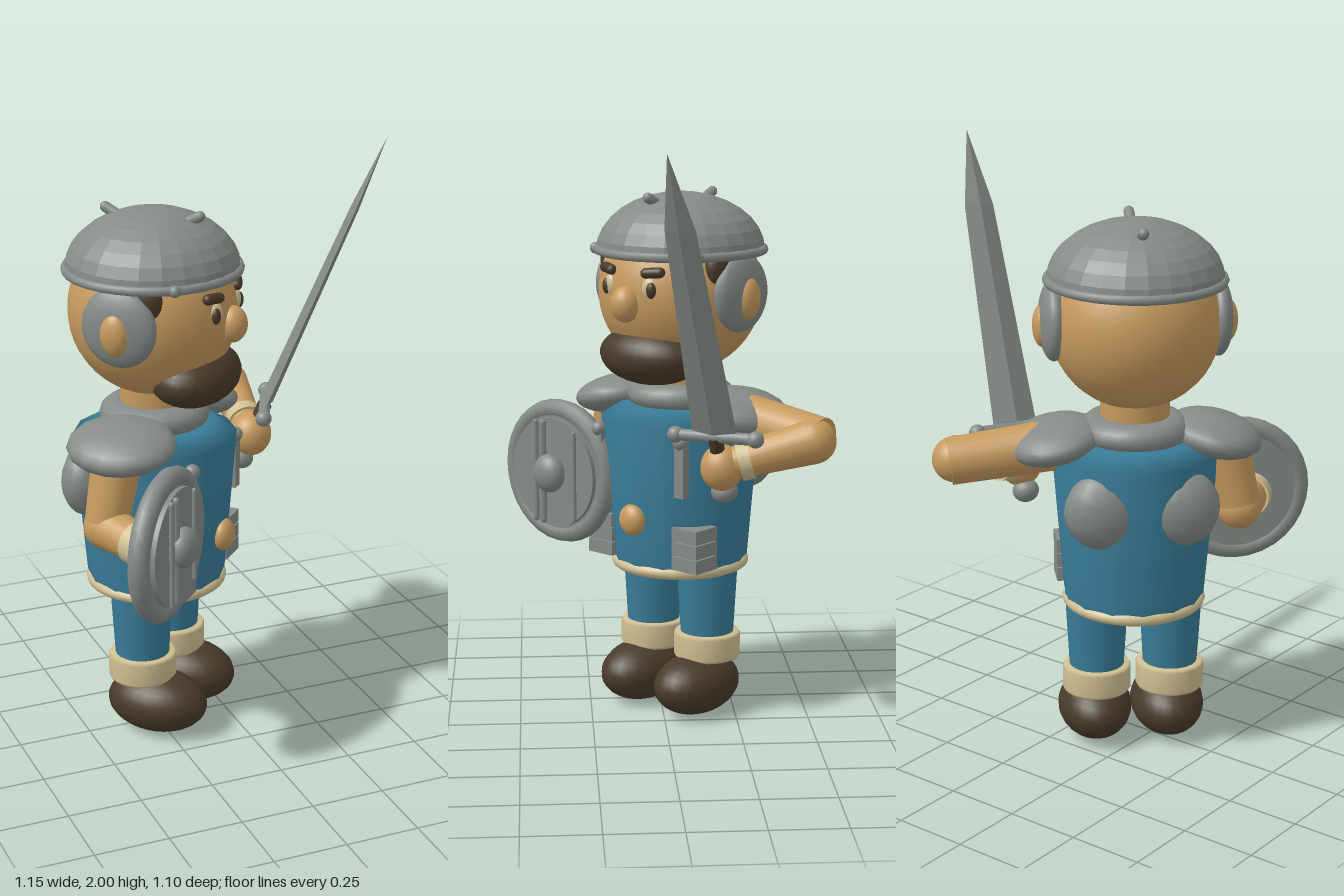
import * as THREE from 'three';

const mat = (name, color) => {
  const m = new THREE.MeshStandardMaterial({ color });
  m.name = name;
  return m;
};

export function createModel() {
  const steel = mat('steel', 0x858b87);
  const cloth = mat('blue cloth', 0x397c98);
  const skin = mat('skin', 0xc69a5e);
  const cream = mat('cream trim', 0xcfbf92);
  const brown = mat('dark brown', 0x493a2a);

  const model = new THREE.Group();
  const knight = new THREE.Group();
  knight.name = 'knight';
  knight.position.set(-0.22, 0, -0.068);
  knight.rotation.y = Math.PI / 4; // the figure stands turned towards its left
  model.add(knight);

  const add = (name, geo, material, pos = [0, 0, 0], rot = [0, 0, 0], parent = knight) => {
    const m = new THREE.Mesh(geo, material);
    m.name = name;
    m.position.set(...pos);
    m.rotation.set(...rot);
    parent.add(m);
    return m;
  };
  const ball = (name, material, pos, r, rot, parent, seg = 24) =>
    add(name, new THREE.SphereGeometry(1, seg, Math.ceil(seg * 0.7)).scale(...r), material, pos, rot, parent);
  const up = new THREE.Vector3(0, 1, 0);
  // Tapered round limb between two points
  const limb = (name, material, a, b, ra, rb, parent) => {
    const A = new THREE.Vector3(...a), B = new THREE.Vector3(...b);
    const d = B.clone().sub(A);
    const m = add(name, new THREE.CylinderGeometry(rb, ra, d.length(), 20), material, [0, 0, 0], [0, 0, 0], parent);
    m.position.copy(A).addScaledVector(d, 0.5);
    m.quaternion.setFromUnitVectors(up, d.normalize());
    return m;
  };
  const lathe = (pts, seg) => new THREE.LatheGeometry(pts.map(p => new THREE.Vector2(...p)), seg);
  const flat = (geo) => {
    const g = geo.toNonIndexed();
    g.computeVertexNormals();
    return g;
  };

  // Legs, cuffs and boots
  for (const s of [-1, 1]) {
    ball('boot', brown, [s * 0.125, 0.108, 0.055], [0.125, 0.107, 0.178]);
    add('leg', new THREE.CylinderGeometry(0.108, 0.09, 0.31, 24), cloth, [s * 0.125, 0.4, 0]);
    add('trouserCuff', lathe([[0.08, 0.195], [0.11, 0.195], [0.116, 0.205], [0.116, 0.278], [0.11, 0.288], [0.08, 0.288]], 24),
      cream, [s * 0.125, 0, 0]);
  }

  // Tunic with hem
  add('tunic', lathe([[0, 0.525], [0.228, 0.525], [0.235, 0.55], [0.276, 1.045], [0.2, 1.09], [0, 1.09]], 14), cloth);
  add('hem', new THREE.TorusGeometry(0.218, 0.022, 10, 32), cream, [0, 0.528, 0], [Math.PI / 2, 0, 0]);
  ball('belly', skin, [0, 0.71, 0.25], [0.052, 0.055, 0.035]);

  // Neck and collar
  add('neck', new THREE.CylinderGeometry(0.115, 0.115, 0.2, 24), skin, [0, 1.16, 0]);
  add('collar', new THREE.TorusGeometry(0.125, 0.06, 12, 28).rotateX(Math.PI / 2).scale(1, 0.8, 1), steel, [0, 1.12, 0]);

  for (const s of [-1, 1]) {
    // Shoulder and back plates
    ball('shoulderPlate', steel, [s * 0.265, 1.09, 0], [0.16, 0.07, 0.185], [0, 0, -s * 0.2], knight, 16);
    ball('backPlate', steel, [s * 0.13, 0.9, -0.185], [0.125, 0.13, 0.085], [0, 0, 0], knight, 14);
    // Chest straps with studs
    add('chestStrap', new THREE.BoxGeometry(0.04, 0.19, 0.03), steel, [s * 0.187, 0.905, 0.21]);
    ball('strapStud', steel, [s * 0.187, 1.0, 0.215], [0.026, 0.026, 0.026]);
    // Hip pouches
    for (let i = 0; i < 3; i++)
      add('hipPouch', new THREE.BoxGeometry(0.11, 0.047, 0.11), steel, [s * 0.193, 0.573 + i * 0.051, 0.15]);
  }

  // Head and face
  ball('head', skin, [0, 1.48, 0], [0.282, 0.285, 0.282], [0, 0, 0], knight, 32);
  ball('beard', brown, [0, 1.272, 0.15], [0.2, 0.103, 0.143]);
  ball('nose', skin, [0, 1.458, 0.28], [0.052, 0.062, 0.05]);
  for (const s of [-1, 1]) {
    ball('eye', cream, [s * 0.088, 1.515, 0.256], [0.028, 0.036, 0.018], [0, s * 0.35, 0]);
    ball('pupil', brown, [s * 0.1, 1.51, 0.264], [0.017, 0.027, 0.014], [0, s * 0.35, 0]);
    add('eyebrow', new THREE.CapsuleGeometry(0.018, 0.05, 6, 12).rotateZ(Math.PI / 2), brown,
      [s * 0.1, 1.568, 0.255], [0, s * 0.38, s * 0.08]);
    ball('sideburn', brown, [s * 0.235, 1.575, 0.08], [0.04, 0.07, 0.055]);
    ball('earGuard', steel, [s * 0.268, 1.49, 0], [0.048, 0.132, 0.13]);
    ball('ear', skin, [s * 0.3, 1.475, 0], [0.035, 0.072, 0.05]);
  }

  // Helmet with rim, studs and crest pegs
  add('helmetDome', flat(new THREE.SphereGeometry(0.29, 24, 8, 0, Math.PI * 2, 0, Math.PI / 2).scale(1, 0.69, 1)),
    steel, [0, 1.615, 0]);
  add('helmetBase', new THREE.CircleGeometry(0.29, 24), steel, [0, 1.612, 0], [Math.PI / 2, 0, 0]);
  add('helmetRim', new THREE.TorusGeometry(0.285, 0.016, 8, 32), steel, [0, 1.62, 0], [Math.PI / 2, 0, 0]);
  for (const s of [-1, 1]) {
    ball('rimStud', steel, [s * 0.231, 1.62, 0.178], [0.02, 0.02, 0.02]);
    add('helmetPeg', new THREE.CapsuleGeometry(0.018, 0.06, 4, 10), steel,
      [0, 1.79, s * 0.14], [s * 1.1, 0, 0]);
  }

  // Right arm, bent towards the shield
  limb('rightUpperArm', skin, [-0.29, 1.08, 0], [-0.35, 0.84, -0.02], 0.085, 0.072);
  ball('rightElbow', skin, [-0.35, 0.835, -0.02], [0.075, 0.075, 0.075]);
  limb('rightForearm', skin, [-0.35, 0.835, -0.02], [-0.42, 0.82, 0.14], 0.073, 0.062);
  limb('rightWristCuff', cream, [-0.405, 0.823, 0.105], [-0.425, 0.82, 0.15], 0.072, 0.072);
  ball('rightHand', skin, [-0.42, 0.82, 0.16], [0.06, 0.06, 0.05]);

  // Round shield facing forward
  const shield = new THREE.Group();
  shield.name = 'shield';
  shield.position.set(-0.379, 0.82, 0.207);
  knight.add(shield);
  const q = [Math.PI / 2, 0, 0];
  add('shieldBody', new THREE.CylinderGeometry(0.225, 0.225, 0.055, 32), steel, [0, 0, 0], q, shield);
  add('shieldRim', new THREE.TorusGeometry(0.222, 0.035, 10, 32), steel, [0, 0, 0], [0, 0, 0], shield);
  add('shieldFace', new THREE.CylinderGeometry(0.195, 0.195, 0.02, 32), steel, [0, 0, 0.034], q, shield);
  ball('shieldBoss', steel, [0, 0, 0.06], [0.065, 0.068, 0.045], [0, 0, 0], shield);
  for (const [x, r, h] of [[-0.075, 0.01, 0.35], [-0.04, 0.013, 0.35], [0.11, 0.008, 0.31]])
    add('shieldBar', new THREE.CapsuleGeometry(r, h, 4, 8), steel, [x, 0, 0.05], [0, 0, 0], shield);

  // Left arm, raised sideways with the forearm coming forward
  limb('leftUpperArm', skin, [0.27, 1.07, 0], [0.61, 1.03, -0.01], 0.085, 0.078);
  limb('leftForearm', skin, [0.59, 1.03, 0.02], [0.39, 0.955, 0.18], 0.076, 0.055);
  ball('leftElbow', skin, [0.59, 1.03, 0.01], [0.076, 0.076, 0.076]);
  limb('leftWristCuff', cream, [0.435, 0.97, 0.145], [0.405, 0.96, 0.17], 0.066, 0.066);
  ball('leftHand', skin, [0.36, 0.94, 0.205], [0.072, 0.078, 0.072]);

  // Sword: local y runs along the blade, local x along the guard
  const sword = new THREE.Group();
  sword.name = 'sword';
  const base = new THREE.Vector3(0.373, 1.07, 0.26);
  const axis = new THREE.Vector3(0.493, 2, 0.631).sub(base);
  const length = axis.length();
  axis.normalize();
  const side = new THREE.Vector3(0.283, 0, -0.1);
  side.addScaledVector(axis, -side.dot(axis)).normalize();
  sword.quaternion.setFromRotationMatrix(
    new THREE.Matrix4().makeBasis(side, axis, side.clone().cross(axis)));
  sword.position.copy(base);
  knight.add(sword);
  add('blade', flat(lathe([[0, 0], [0.078, 0], [0.052, length * 0.74], [0, length]], 4).scale(1, 1, 0.28)),
    steel, [0, 0, 0], [0, 0, 0], sword);
  add('guard', new THREE.CapsuleGeometry(0.02, 0.25, 6, 12), steel, [0, -0.02, 0], [0, 0, Math.PI / 2], sword);
  for (const s of [-1, 1]) ball('guardEnd', steel, [s * 0.14, -0.02, 0], [0.028, 0.028, 0.028], [0, 0, 0], sword);
  add('grip', new THREE.CylinderGeometry(0.025, 0.025, 0.2, 14), brown, [0, -0.12, 0], [0, 0, 0], sword);
  ball('pommel', steel, [0, -0.235, 0], [0.045, 0.04, 0.045], [0, 0, 0], sword);

  return model;
}
